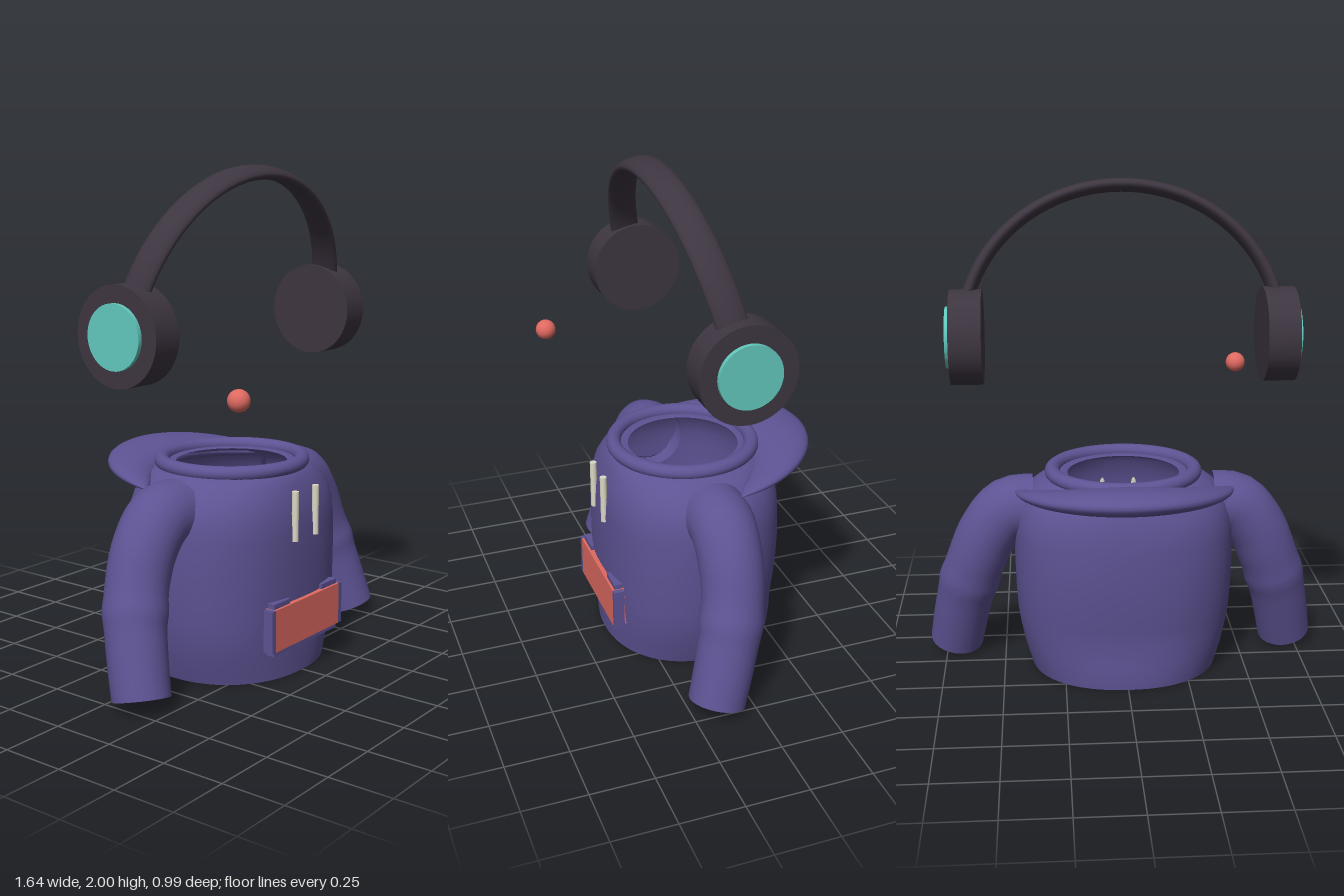
import * as THREE from 'three';

const mat = (name, color, side = THREE.FrontSide) => {
  const m = new THREE.MeshStandardMaterial({ color, side });
  m.name = name;
  return m;
};

// Skin a surface over a list of closed rings of points
function loft(rings) {
  const n = rings[0].length, pos = [], idx = [];
  for (const r of rings) for (const p of r) pos.push(p.x, p.y, p.z);
  for (let i = 0; i < rings.length - 1; i++) {
    for (let j = 0; j < n; j++) {
      const a = i * n + j, b = i * n + (j + 1) % n;
      idx.push(a, a + n, b, b, a + n, b + n);
    }
  }
  const g = new THREE.BufferGeometry();
  g.setAttribute('position', new THREE.Float32BufferAttribute(pos, 3));
  g.setIndex(idx);
  g.computeVertexNormals();
  return g;
}

// Horizontal superellipse ring
function ring(y, rx, rz, zc, e, n = 64) {
  const pw = (v) => Math.sign(v) * Math.abs(v) ** (2 / e);
  return Array.from({ length: n }, (_, i) => {
    const a = (i / n) * Math.PI * 2;
    return new THREE.Vector3(rx * pw(Math.cos(a)), y, zc + rz * pw(Math.sin(a)));
  });
}

// Sleeve: tube along a curve with varying radius and a hollow cuff
function sleeveGeometry(side) {
  const curve = new THREE.CatmullRomCurve3([
    [0.36, 0.675, 0.035], [0.47, 0.665, 0.035], [0.555, 0.57, 0.037], [0.605, 0.46, 0.045],
    [0.65, 0.33, 0.07], [0.685, 0.18, 0.11], [0.71, 0.045, 0.148],
  ].map(([x, y, z]) => new THREE.Vector3(x * side, y, z)));
  const stations = [];
  for (let i = 0; i <= 28; i++) {
    const t = i / 28;
    const crease = 0.007 * Math.exp(-(((t - 0.6) / 0.05) ** 2));
    stations.push([t, 0.132 - 0.02 * t + crease]);
  }
  stations.push([1, 0.112], [1, 0.088], [1, 0.088], [0.8, 0.085]);
  const rings = stations.map(([t, r]) => {
    const c = curve.getPointAt(t), d = curve.getTangentAt(t);
    const u = new THREE.Vector3(0, 0, 1).addScaledVector(d, -d.z).normalize();
    const v = new THREE.Vector3().crossVectors(d, u);
    return Array.from({ length: 28 }, (_, i) => {
      const a = (i / 28) * Math.PI * 2;
      return c.clone().addScaledVector(u, r * Math.cos(a)).addScaledVector(v, r * Math.sin(a));
    });
  });
  return loft(rings);
}

// Hood: crescent lying behind the neck, tapering to both ends
function hoodGeometry() {
  const rings = [];
  for (let i = 0; i <= 40; i++) {
    const a = (i / 40) * Math.PI, s = Math.max(Math.sin(a), 0.0001);
    const w = 0.135 * s ** 0.6, h = 0.052 * s ** 0.6, R = 0.445 - w;
    const yc = 0.765 + 0.046 * s;
    rings.push(Array.from({ length: 24 }, (_, j) => {
      const b = (j / 24) * Math.PI * 2;
      const r = R + w * Math.cos(b);
      const y = yc + h * Math.sin(b) + 0.012 * s * Math.cos(b);
      return new THREE.Vector3(r * Math.cos(a), y, -0.05 - r * Math.sin(a));
    }));
  }
  return loft(rings);
}

export function createModel() {
  const model = new THREE.Group();
  model.name = 'hoodieAndHeadset';
  const fabric = mat('purple fabric', 0x5d5393, THREE.DoubleSide);
  const dark = mat('dark plastic', 0x3d3540);
  const teal = mat('teal accent', 0x62c8bd);
  const coral = mat('coral', 0xdf6a61);
  const cream = mat('cream cord', 0xdcd8c6);

  const add = (name, geo, material, x = 0, y = 0, z = 0, parent = model) => {
    const m = new THREE.Mesh(geo, material);
    m.name = name;
    m.position.set(x, y, z);
    parent.add(m);
    return m;
  };
  const box = (name, material, x0, x1, y0, y1, z0, z1) =>
    add(name, new THREE.BoxGeometry(x1 - x0, y1 - y0, z1 - z0), material,
      (x0 + x1) / 2, (y0 + y1) / 2, (z0 + z1) / 2);

  // Torso shell, open at hem and neck: y, half width, half depth, centre z, squareness
  const rows = [
    [0.02, 0.3, 0.275, 0.033, 2.1], [0, 0.305, 0.28, 0.033, 2.1], [0, 0.305, 0.28, 0.033, 2.1],
    [0, 0.385, 0.353, 0.033, 2.2], [0, 0.385, 0.353, 0.033, 2.2],
    [0.03, 0.395, 0.355, 0.033, 2.2], [0.1, 0.415, 0.355, 0.036, 2.3], [0.18, 0.432, 0.352, 0.04, 2.4],
    [0.25, 0.442, 0.356, 0.037, 2.4], [0.35, 0.448, 0.363, 0.032, 2.4], [0.47, 0.451, 0.366, 0.03, 2.4],
    [0.58, 0.449, 0.364, 0.03, 2.4], [0.65, 0.441, 0.358, 0.03, 2.4], [0.71, 0.424, 0.345, 0.03, 2.3],
    [0.76, 0.39, 0.325, 0.03, 2.2], [0.79, 0.35, 0.31, 0.03, 2.1], [0.81, 0.31, 0.29, 0.03, 2],
    [0.82, 0.26, 0.25, 0.03, 2], [0.815, 0.23, 0.225, 0.028, 2],
  ];
  add('torso', loft(rows.map((r) => ring(...r))), fabric);

  // Neck band
  const neck = add('neckBand', new THREE.TorusGeometry(0.292, 0.031, 16, 64), fabric, 0, 0.823, 0.03);
  neck.rotation.x = Math.PI / 2;
  neck.scale.set(1, 0.965, 0.95);

  add('hood', hoodGeometry(), fabric);

  // Front pocket: coral panel in a fabric frame
  box('pocketPanel', coral, -0.222, 0.222, 0.14, 0.31, 0.345, 0.412);
  box('pocketBottomEdge', fabric, -0.22, 0.22, 0.12, 0.14, 0.37, 0.402);

  for (const s of [-1, 1]) {
    const label = s > 0 ? 'left' : 'right';
    const span = (a, b) => (s > 0 ? [a, b] : [-b, -a]);
    box(label + 'PocketSide', fabric, ...span(0.222, 0.244), 0.14, 0.31, 0.37, 0.412);
    box(label + 'PocketTab', fabric, ...span(0.112, 0.218), 0.31, 0.33, 0.37, 0.402);

    add(label + 'Sleeve', sleeveGeometry(s), fabric);
    add(label + 'Drawstring', new THREE.CylinderGeometry(0.014, 0.014, 0.2, 16), cream, s * 0.07, 0.65, 0.393);

    // Ear cup and its outer disc
    const cup = add(label + 'EarCup', new THREE.CylinderGeometry(0.19, 0.19, 0.128, 48), dark, s * 0.624, 1.386, 0.028);
    cup.rotation.z = Math.PI / 2;
    const disc = add(label + 'EarDisc', new THREE.CylinderGeometry(0.123, 0.123, 0.04, 48), teal, s * 0.686, 1.386, 0.028);
    disc.rotation.z = Math.PI / 2;
  }

  // Headband: flattened half ring leaning forward
  const band = add('headband', new THREE.TorusGeometry(0.64, 0.028, 20, 64, Math.PI), dark, 0, 1.386, 0.028);
  band.scale.set(1, 0.935, 2.2);
  band.rotation.x = 0.222;

  // Microphone tip
  add('microphoneTip', new THREE.SphereGeometry(0.042, 24, 16), coral, -0.52, 1.176, 0.455);

  return model;
}
